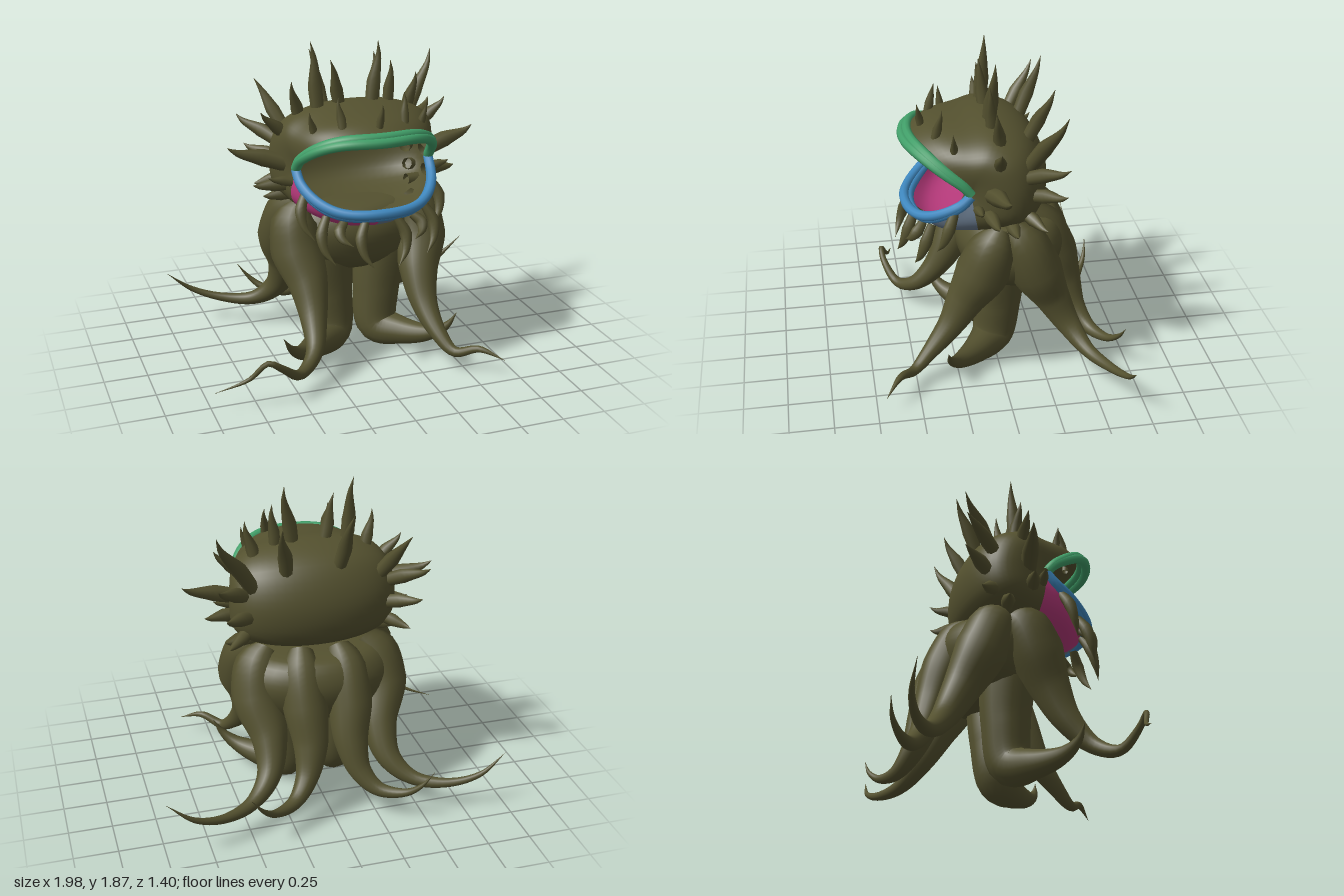
import * as THREE from 'three';

const mat = (name, color) => {
  const m = new THREE.MeshStandardMaterial({ color, side: THREE.DoubleSide });
  m.name = name;
  return m;
};
const V = (x, y, z) => new THREE.Vector3(x, y, z);

export function createModel() {
  const olive = mat('olive skin', 0x54512f);
  const green = mat('green lip', 0x419f69);
  const blue = mat('blue lip', 0x3f88bf);
  const magenta = mat('magenta jaw', 0xb83a7c);
  const slate = mat('slate jaw', 0x68798c);

  const model = new THREE.Group();
  const add = (name, geo, material, parent = model) => {
    const mesh = new THREE.Mesh(geo, material);
    mesh.name = name;
    parent.add(mesh);
    return mesh;
  };
  const group = (name) => {
    const g = new THREE.Group();
    g.name = name;
    model.add(g);
    return g;
  };

  // Tube whose radius follows a list given per control point
  function taper(points, radii, segs = 32, sides = 12) {
    const curve = new THREE.CatmullRomCurve3(points, false, 'centripetal');
    const geo = new THREE.TubeGeometry(curve, segs, 1, sides);
    const pos = geo.attributes.position, v = V(0, 0, 0);
    for (let i = 0; i <= segs; i++) {
      const c = curve.getPointAt(i / segs);
      const f = curve.getUtoTmapping(i / segs) * (radii.length - 1);
      const k = Math.min(Math.floor(f), radii.length - 2);
      const r = Math.max(THREE.MathUtils.lerp(radii[k], radii[k + 1], f - k), 0.001);
      for (let j = 0; j <= sides; j++) {
        const n = i * (sides + 1) + j;
        v.fromBufferAttribute(pos, n).sub(c).multiplyScalar(r).add(c);
        pos.setXYZ(n, v.x, v.y, v.z);
      }
    }
    return geo;
  }

  // Head shell: a side profile from upper lip over the back to lower lip, fanned about the jaw hinge
  const HY = 1.2, HZ = 0.17, HW = 0.395;
  const profile = new THREE.CatmullRomCurve3([
    [0.49, 1.42], [0.36, 1.485], [0.18, 1.51], [0, 1.53], [-0.2, 1.44], [-0.3, 1.22],
    [-0.25, 1.0], [0, 0.91], [0.13, 0.89], [0.36, 0.89], [0.49, 0.985],
  ].map(([z, y]) => V(0, y, z)));
  function headPoint(u, t, k = 1) {
    const p = profile.getPoint(u);
    const c = Math.max(Math.cos(t), 0);
    const back = THREE.MathUtils.clamp((0.49 - p.z) / 0.79, 0, 1);
    const x = HW * Math.sin(t) + 0.16 * back * Math.sin(2 * t);
    return V(x * k, HY + (p.y - HY) * Math.pow(c, 0.72) * k, HZ + (p.z - HZ) * c * k);
  }
  function headPatch(u0, u1, t0, t1, k = 1, nu = 40, nt = 40) {
    const pos = [], idx = [];
    for (let i = 0; i <= nu; i++) {
      for (let j = 0; j <= nt; j++) {
        const t = THREE.MathUtils.lerp(t0, t1, j / nt);
        pos.push(...headPoint(THREE.MathUtils.lerp(u0, u1, i / nu), t, k).toArray());
        if (i < nu && j < nt) {
          const a = i * (nt + 1) + j, b = a + nt + 1;
          idx.push(a, a + 1, b, a + 1, b + 1, b);
        }
      }
    }
    const geo = new THREE.BufferGeometry();
    geo.setAttribute('position', new THREE.Float32BufferAttribute(pos, 3));
    geo.setIndex(idx);
    geo.computeVertexNormals();
    return geo;
  }
  const Q = Math.PI / 2;
  add('head', headPatch(0, 0.79, -Q, Q), olive);
  add('rightJaw', headPatch(0.79, 1, -Q, 0, 1, 12, 24), magenta);
  add('leftJaw', headPatch(0.79, 1, 0, Q, 1, 12, 24), slate);
  add('leftJawLining', headPatch(0.79, 1, 0.02, Q, 0.98, 12, 24), olive);

  // Lips: two rolls side by side along each mouth edge, meeting at the corners
  function lip(name, u, material, side) {
    const g = group(name);
    for (const d of [-1, 1]) {
      const pts = [];
      for (let j = 0; j <= 20; j++) {
        const t = -Q + (j / 20) * 2 * Q;
        const p = headPoint(u, t);
        const open = Math.cos(t);
        p.y += side * (0.011 * d * open - 0.01 * Math.cos(4 * t) * open + 0.004);
        p.z += -0.014 * d * open;
        pts.push(p);
      }
      add('lipRoll', taper(pts, pts.map(() => 0.028), 64, 10), material, g);
    }
  }
  lip('upperLip', 0, green, 1);
  lip('lowerLip', 1, blue, -1);

  // Body that the legs grow from
  const body = add('body', new THREE.LatheGeometry(new THREE.SplineCurve([
    [0, 0.5], [0.5, 0.52], [0.85, 0.6], [1, 0.73], [0.97, 0.83], [0.8, 0.91], [0.5, 0.93], [0, 0.93],
  ].map(([x, y]) => new THREE.Vector2(x, y))).getPoints(24), 40), olive);
  body.scale.set(0.46, 1, 0.32);
  body.position.z = -0.1;

  // Tentacle legs, rows of x, y, z, radius
  const legs = group('legs');
  const leg = (name, s, rows) =>
    add(name, taper(rows.map(([x, y, z]) => V(x * s, y, z)), rows.map((r) => r[3]), 48, 16), olive, legs);
  const frontRoot = [[0.32, 0.92, 0.0, 0.06], [0.37, 0.85, 0.05, 0.135], [0.375, 0.7, 0.11, 0.157],
    [0.34, 0.52, 0.195, 0.115], [0.34, 0.34, 0.29, 0.078], [0.38, 0.19, 0.42, 0.048]];
  leg('leftFrontLeg', 1, [...frontRoot,
    [0.44, 0.11, 0.52, 0.03], [0.55, 0.15, 0.61, 0.02], [0.67, 0.1, 0.7, 0]]);
  leg('rightFrontLeg', -1, [...frontRoot,
    [0.5, 0.13, 0.53, 0.03], [0.62, 0.22, 0.6, 0.02], [0.7, 0.27, 0.61, 0.016],
    [0.8, 0.17, 0.57, 0.012], [0.98, 0.1, 0.53, 0]]);
  for (const s of [1, -1]) {
    leg('middleLeg', s, [[0.18, 0.82, -0.02, 0.12], [0.18, 0.62, -0.01, 0.165], [0.15, 0.36, -0.01, 0.14],
      [0.15, 0.13, 0.02, 0.125], [0.26, 0.1, 0.12, 0.085], [0.4, 0.12, 0.25, 0.045],
      [0.48, 0.18, 0.31, 0.022], [0.53, 0.26, 0.33, 0]]);
    leg('rearSideLeg', s, [[0.29, 0.92, -0.08, 0.07], [0.35, 0.85, -0.13, 0.135], [0.37, 0.68, -0.2, 0.15],
      [0.33, 0.47, -0.3, 0.105], [0.36, 0.28, -0.4, 0.07], [0.48, 0.17, -0.49, 0.042],
      [0.66, 0.16, -0.585, 0.027], [0.84, 0.22, -0.64, 0.016], [0.99, 0.34, -0.64, 0]]);
    leg('rearLeg', s, [[0.11, 0.93, -0.18, 0.07], [0.13, 0.84, -0.27, 0.125], [0.13, 0.66, -0.355, 0.13],
      [0.12, 0.45, -0.42, 0.1], [0.16, 0.27, -0.48, 0.065], [0.25, 0.17, -0.55, 0.042],
      [0.38, 0.17, -0.63, 0.024], [0.46, 0.23, -0.68, 0.013], [0.53, 0.32, -0.7, 0]]);
  }

  // Spikes with a slightly bent tip, from a base point to a tip point
  const spikes = group('spikes');
  function spike(name, s, [bx, by, bz, tx, ty, tz, r]) {
    const a = V(bx * s, by, bz), b = V(tx * s, ty, tz);
    const bend = a.distanceTo(b) * 0.03;
    const at = (k, d) => a.clone().lerp(b, k).add(V(d * s, -d, 0));
    add(name, taper([at(-0.12, 0), at(0.35, 0), at(0.8, bend), b], [r * 0.9, r, r * 0.38, 0], 12, 8), olive, spikes);
  }
  const crown = [
    [-0.22, 1.49, 0.03, -0.25, 1.87, 0, 0.042], [-0.09, 1.5, 0.03, -0.15, 1.77, 0.05, 0.038],
    [0.1, 1.5, 0.03, 0.15, 1.85, 0, 0.042], [0.2, 1.49, 0.03, 0.21, 1.74, 0.04, 0.034],
    [-0.12, 1.44, -0.18, -0.16, 1.76, -0.31, 0.042], [0.19, 1.43, -0.18, 0.24, 1.72, -0.31, 0.042],
    [0.39, 1.36, -0.16, 0.6, 1.71, -0.31, 0.045], [-0.37, 1.36, -0.16, -0.49, 1.61, -0.32, 0.042],
  ];
  crown.forEach((c) => spike('crownSpike', 1, c));
  const flank = [
    [0.32, 1.43, 0, 0.37, 1.66, 0.03, 0.036], [0.41, 1.36, 0.02, 0.55, 1.5, 0.03, 0.036],
    [0.44, 1.21, 0.06, 0.74, 1.31, 0.01, 0.05],
    [0.42, 1.29, -0.14, 0.6, 1.41, -0.33, 0.042], [0.4, 1.17, -0.17, 0.56, 1.23, -0.33, 0.042],
    [0.43, 1.09, 0.08, 0.61, 1.09, 0.05, 0.04], [0.37, 0.99, -0.05, 0.52, 0.98, -0.07, 0.04],
    [0.4, 1.06, -0.13, 0.53, 1.01, -0.23, 0.038], [0.42, 1.12, 0.14, 0.54, 1.15, 0.13, 0.028],
  ];
  const brow = [
    [0.31, 1.4, 0.25, 0.34, 1.54, 0.26, 0.022], [0.18, 1.45, 0.34, 0.19, 1.62, 0.3, 0.026],
  ];
  // Hooked barbels under the lower lip
  const barbel = (s, x, y, z, len) => add('chinBarbel', taper([
    V(x * s, y, z), V((x + 0.04) * s, y - len * 0.35, z + 0.04),
    V((x + 0.03) * s, y - len * 0.7, z + 0.07), V((x - 0.02) * s, y - len, z + 0.1),
  ], [0.024, 0.035, 0.022, 0], 14, 8), olive, spikes);
  for (const s of [1, -1]) {
    flank.forEach((f) => spike('flankSpike', s, f));
    brow.forEach((b) => spike('browSpike', s, b));
    barbel(s, 0.09, 0.96, 0.46, 0.25);
    barbel(s, 0.29, 0.98, 0.38, 0.25);
    barbel(s, 0.2, 0.95, 0.42, 0.11);
    barbel(s, 0.37, 1.09, 0.26, 0.25);
  }
  spike('browSpike', 1, [0.01, 1.46, 0.4, 0.02, 1.59, 0.42, 0.022]);

  return model;
}
